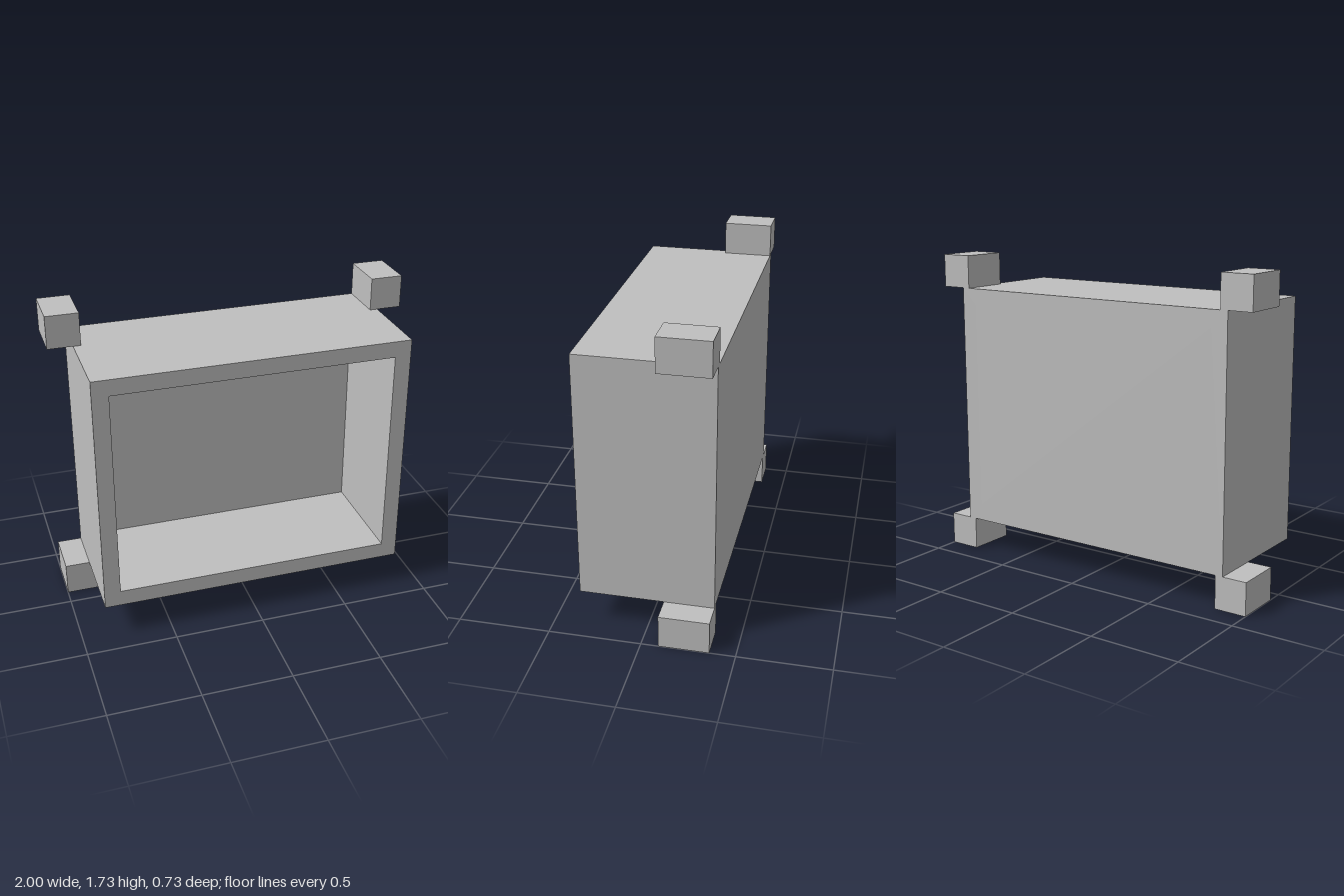
import * as THREE from 'three';

const HALF_W = 0.863, BOTTOM = 0.183, TOP = 1.547, HALF_D = 0.3625;
const WALL = 0.09, BACK = 0.113;
const LUG_W = 0.18, LUG_D = 0.27, HEIGHT = 1.73;

// Traces a rectangle on a Shape or Path
function rect(path, x0, y0, x1, y1) {
  path.moveTo(x0, y0);
  path.lineTo(x1, y0);
  path.lineTo(x1, y1);
  path.lineTo(x0, y1);
  path.closePath();
  return path;
}

export function createModel() {
  const group = new THREE.Group();
  const grey = new THREE.MeshStandardMaterial({ color: 0xbfbfbf });
  grey.name = 'light grey';

  const add = (name, geometry, x, y, z) => {
    const mesh = new THREE.Mesh(geometry, grey);
    mesh.name = name;
    mesh.position.set(x, y, z);
    group.add(mesh);
  };

  // Four walls around the open front, in one piece with the back
  const outline = rect(new THREE.Shape(), -HALF_W, BOTTOM, HALF_W, TOP);
  outline.holes.push(rect(new THREE.Path(),
    -HALF_W + WALL, BOTTOM + WALL, HALF_W - WALL, TOP - WALL));
  const walls = new THREE.ExtrudeGeometry(outline, { depth: 2 * HALF_D, bevelEnabled: false });
  add('boxWalls', walls, 0, 0, -HALF_D);

  // Back panel closes the opening between the walls
  const panel = new THREE.BoxGeometry(2 * (HALF_W - WALL), TOP - BOTTOM - 2 * WALL, BACK);
  add('backPanel', panel, 0, (TOP + BOTTOM) / 2, -HALF_D + BACK / 2);

  // Mounting blocks at the four rear corners
  const lug = new THREE.BoxGeometry(LUG_W, BOTTOM, LUG_D);
  for (const [side, sx] of [['left', 1], ['right', -1]]) {
    for (const [level, y] of [['Bottom', BOTTOM / 2], ['Top', HEIGHT - BOTTOM / 2]]) {
      add(`${side}${level}Block`, lug, sx * (1 - LUG_W / 2), y, -HALF_D + LUG_D / 2);
    }
  }
  return group;
}
